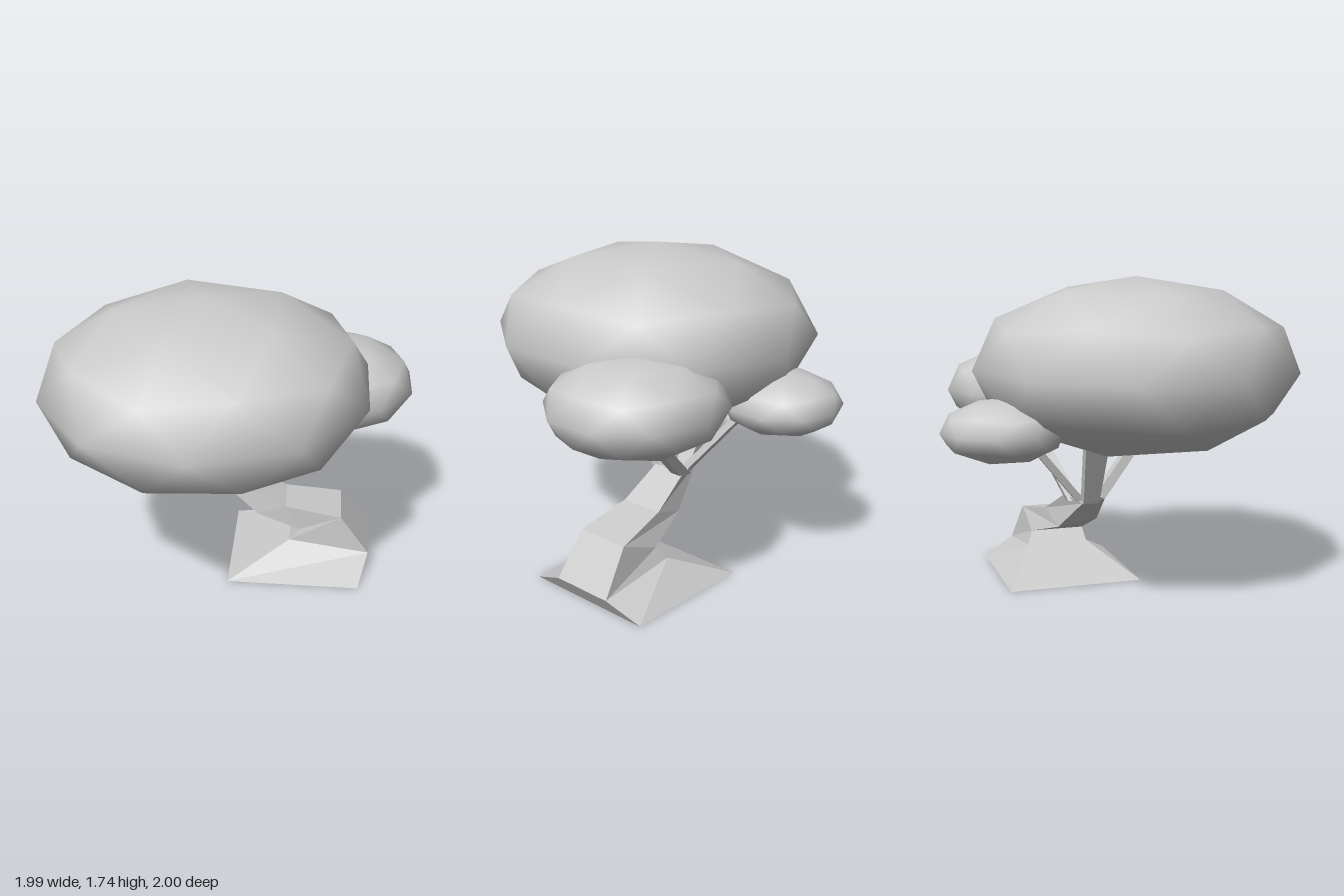
import * as THREE from 'three';

const material = new THREE.MeshStandardMaterial({ color: 0xcccccc });

// Flat-faced solid through four-cornered rings, each ordered
// front-left, front-right, back-right, back-left.
function loft(rings) {
  const pos = [];
  const quad = (a, b, c, d) => pos.push(...a, ...b, ...c, ...a, ...c, ...d);
  for (let r = 0; r < rings.length - 1; r++) {
    const lo = rings[r], hi = rings[r + 1];
    for (let i = 0; i < 4; i++) {
      const j = (i + 1) % 4;
      quad(lo[i], lo[j], hi[j], hi[i]);
    }
  }
  quad(...[...rings[0]].reverse());
  quad(...rings[rings.length - 1]);
  const geo = new THREE.BufferGeometry();
  geo.setAttribute('position', new THREE.Float32BufferAttribute(pos, 3));
  geo.computeVertexNormals();
  return geo;
}

// Level rectangular ring around a centre point
const rectRing = ([x, y, z], hx, hz) => [
  [x - hx, y, z + hz], [x + hx, y, z + hz], [x + hx, y, z - hz], [x - hx, y, z - hz],
];

export function createModel() {
  const tree = new THREE.Group();
  tree.name = 'tree';
  const add = (name, geometry) => {
    const mesh = new THREE.Mesh(geometry, material);
    mesh.name = name;
    tree.add(mesh);
    return mesh;
  };

  // Bent trunk rising from a wide square foot
  add('trunk', loft([
    rectRing([0.36, 0, -0.205], 0.38, 0.38),
    [[0.33, 0.165, -0.05], [0.8, 0.1, -0.05], [0.8, 0.1, -0.405], [0.33, 0.165, -0.405]],
    [[0.385, 0.235, -0.06], [0.63, 0.33, -0.06], [0.63, 0.33, -0.37], [0.385, 0.235, -0.37]],
    [[0.14, 0.345, -0.04], [0.3, 0.39, -0.06], [0.3, 0.39, -0.31], [0.1, 0.322, -0.28]],
    [[-0.03, 0.515, -0.035], [0.04, 0.525, -0.055], [0.04, 0.525, -0.26], [-0.13, 0.505, -0.2]],
  ]));

  // Tapered branches: start, half sizes, end, half sizes
  const branches = [
    ['leftBranch', [-0.1, 0.5, -0.15], 0.03, 0.045, [-0.33, 0.95, -0.17], 0.03, 0.07],
    ['frontBranch', [0.005, 0.5, -0.075], 0.036, 0.035, [0.035, 0.92, 0.25], 0.025, 0.035],
    ['rightBranch', [0.01, 0.5, -0.22], 0.04, 0.035, [0.47, 0.92, -0.37], 0.03, 0.035],
    ['backBranch', [-0.06, 0.5, -0.19], 0.03, 0.025, [-0.15, 0.92, -0.54], 0.025, 0.025],
  ];
  for (const [name, a, ax, az, b, bx, bz] of branches) {
    add(name, loft([rectRing(a, ax, az), rectRing(b, bx, bz)]));
  }

  // Foliage: smooth, low-poly spheres with a vertex at the top
  const ball = new THREE.IcosahedronGeometry(1, 1);
  ball.rotateZ(Math.atan2(1, (1 + Math.sqrt(5)) / 2));
  const foliage = [
    ['mainCanopy', [-0.135, 1.258, 0.1], [0.91, 0.487, 0.9], 0.02],
    ['rightCanopy', [0.52, 1.083, -0.365], [0.495, 0.257, 0.465], 0],
    ['backCanopy', [-0.29, 0.96, -0.668], [0.326, 0.17, 0.332], 0],
  ];
  for (const [name, centre, radii, tilt] of foliage) {
    const mesh = add(name, ball);
    mesh.position.set(...centre);
    mesh.scale.set(...radii);
    mesh.rotation.z = tilt;
  }
  return tree;
}
